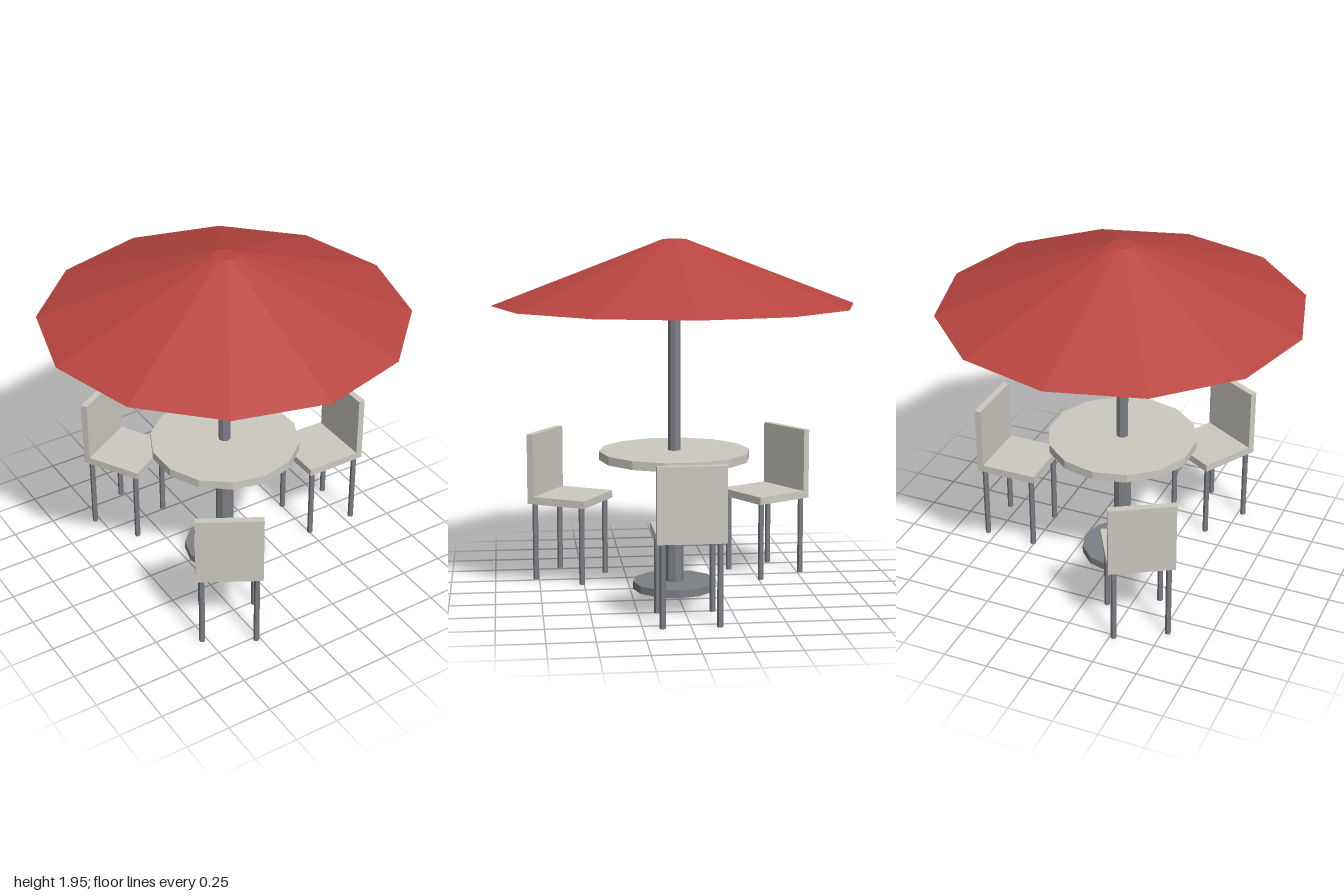
import * as THREE from 'three';

const paint = (color) => new THREE.MeshStandardMaterial({ color, flatShading: true });

export function createModel() {
  const model = new THREE.Group();
  model.name = 'patioSet';
  const red = paint(0xb94540), cream = paint(0xccc9c0), metal = paint(0x7c7f85);

  const add = (parent, name, geometry, material, x, y, z) => {
    const mesh = new THREE.Mesh(geometry, material);
    mesh.name = name;
    mesh.position.set(x, y, z);
    parent.add(mesh);
    return mesh;
  };
  // Upright faceted cylinder between two heights
  const column = (parent, name, rTop, rBottom, y0, y1, sides, material, x = 0, z = 0) =>
    add(parent, name, new THREE.CylinderGeometry(rTop, rBottom, y1 - y0, sides),
      material, x, (y0 + y1) / 2, z);

  // Centre: foot, posts, table top and canopy
  column(model, 'base', 0.233, 0.233, 0, 0.043, 12, metal);
  column(model, 'tablePost', 0.052, 0.052, 0.043, 0.738, 8, metal);
  column(model, 'tableTop', 0.42, 0.42, 0.738, 0.786, 14, cream);
  column(model, 'umbrellaPole', 0.035, 0.035, 0.786, 1.6, 8, metal);
  column(model, 'umbrellaCanopy', 0.065, 1, 1.594, 1.95, 12, red);

  // Three chairs spaced evenly, all facing the table
  for (let i = 0; i < 3; i++) {
    const chair = new THREE.Group();
    chair.name = 'chair' + (i + 1);
    chair.rotation.y = (i * Math.PI * 2) / 3;
    add(chair, 'seat', new THREE.BoxGeometry(0.361, 0.043, 0.361), cream, 0.6535, 0.4655, 0);
    add(chair, 'backrest', new THREE.BoxGeometry(0.038, 0.358, 0.361), cream, 0.815, 0.666, 0);
    for (const x of [0.506, 0.802])
      for (const z of [-0.148, 0.148])
        column(chair, 'leg', 0.016, 0.016, 0, 0.444, 6, metal, x, z);
    model.add(chair);
  }
  return model;
}
